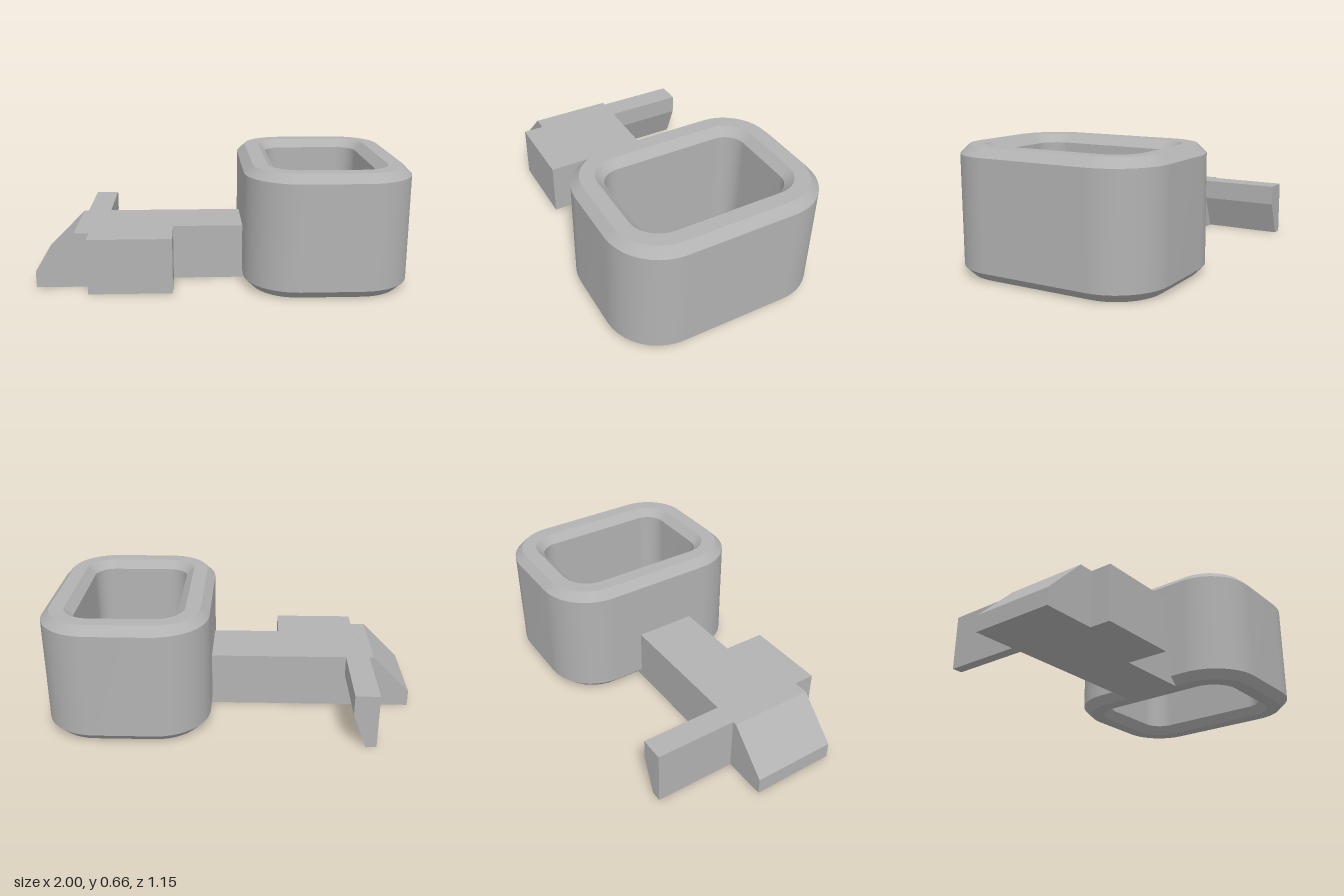
import * as THREE from 'three';

const grey = new THREE.MeshStandardMaterial({ color: 0xb2b2b2 });
grey.name = 'plain grey';

// Rounded rectangle outline, inset from the outer wall of the collar
function outline(inset, y) {
  const radius = 0.28 - inset, cx = 0.4425 - 0.28, cz = 0.577 - 0.28, steps = 10;
  const points = [];
  [[1, 1], [-1, 1], [-1, -1], [1, -1]].forEach(([sx, sz], corner) => {
    for (let i = 0; i <= steps; i++) {
      const a = (corner + i / steps) * Math.PI / 2;
      points.push([sx * cx + radius * Math.cos(a), y, sz * cz + radius * Math.sin(a)]);
    }
  });
  return points;
}

// Closed collar: each band has its own vertices, so chamfer edges stay sharp
function collarGeometry() {
  const profile = [
    [0.045, 0], [0, 0.045], [0, 0.615], [0.045, 0.66],
    [0.125, 0.66], [0.17, 0.615], [0.17, 0.045], [0.125, 0],
  ];
  const positions = [], indices = [];
  profile.forEach((p, k) => {
    const low = outline(...p), high = outline(...profile[(k + 1) % profile.length]);
    const n = low.length, base = positions.length / 3;
    positions.push(...low.flat(), ...high.flat());
    for (let i = 0; i < n; i++) {
      const j = (i + 1) % n;
      const a = base + i, b = base + j, c = a + n, d = b + n;
      indices.push(a, c, b, b, c, d);
    }
  });
  const geometry = new THREE.BufferGeometry();
  geometry.setAttribute('position', new THREE.Float32BufferAttribute(positions, 3));
  geometry.setIndex(indices);
  geometry.computeVertexNormals();
  return geometry;
}

// Side profile in x and y, extruded from z0 to z1
function slab(name, points, z0, z1) {
  const shape = new THREE.Shape(points.map(([x, y]) => new THREE.Vector2(x, y)));
  const geometry = new THREE.ExtrudeGeometry(shape, { depth: z1 - z0, bevelEnabled: false });
  geometry.translate(0, 0, z0);
  const mesh = new THREE.Mesh(geometry, grey);
  mesh.name = name;
  return mesh;
}

export function createModel() {
  const model = new THREE.Group();
  const h = 0.3;
  const block = (x0, x1) => [[x0, 0], [x1, 0], [x1, h], [x0, h]];

  // Hollow rounded collar
  const collar = new THREE.Mesh(collarGeometry(), grey);
  collar.name = 'collar';
  collar.position.x = 0.5575;
  model.add(collar);

  // Arm, stepped side block and sloped tip
  model.add(slab('arm', block(-0.71, 0.2), -0.13, 0.21));
  model.add(slab('sideBlock', block(-0.71, -0.265), 0.21, 0.445));
  model.add(slab('slopedTip', [[-1, 0], [-0.71, 0], [-0.71, h], [-0.79, h], [-1, 0.09]], -0.13, 0.33));

  // Back fin, undercut on its inner side
  model.add(slab('fin', [[-0.765, 0], [-0.707, 0], [-0.635, 0.19], [-0.635, h], [-0.765, h]], -0.573, -0.13));
  return model;
}
